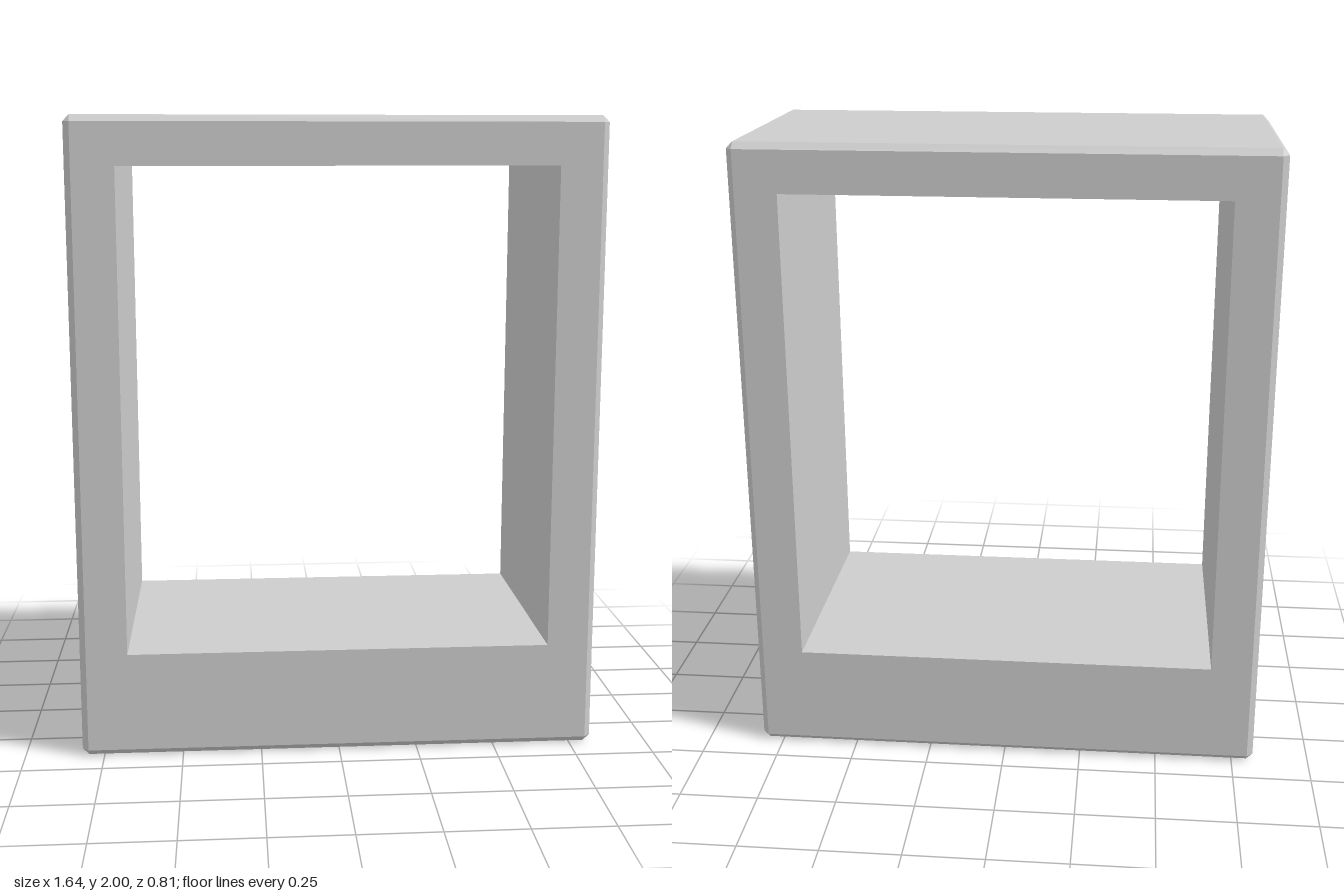
import * as THREE from 'three';

// Half sizes of the block and width of its chamfered edges
const H = [0.82, 1, 0.405];
const C = 0.02;

// Flat panel facing +z, with an optional rectangular hole [x0, y0, x1, y1]
function panel(hw, hh, hole) {
  const rect = (x0, y0, x1, y1) =>
    [[x0, y0], [x1, y0], [x1, y1], [x0, y1]].map(([x, y]) => new THREE.Vector2(x, y));
  const shape = new THREE.Shape(rect(-hw, -hh, hw, hh));
  if (hole) shape.holes.push(new THREE.Path(rect(...hole).reverse()));
  return new THREE.ShapeGeometry(shape);
}

// Inward-facing box walls; keep lists sides in the order +x, -x, +y, -y, +z, -z
function lining(w, h, d, keep) {
  const box = new THREE.BoxGeometry(w, h, d);
  const source = box.index.array;
  const index = [];
  for (const side of keep) {
    for (let i = side * 6; i < side * 6 + 6; i += 3) index.push(source[i], source[i + 2], source[i + 1]);
  }
  box.clearGroups();
  box.setIndex(index);
  const geometry = box.toNonIndexed();
  geometry.computeVertexNormals();
  return geometry;
}

// Twelve bevel strips and eight corner triangles around the block
function chamfers() {
  const positions = [];
  const triangle = (a, b, c) => {
    const normal = b.clone().sub(a).cross(c.clone().sub(a));
    const ordered = normal.dot(a) > 0 ? [a, b, c] : [a, c, b];
    ordered.forEach((p) => positions.push(p.x, p.y, p.z));
  };
  // Corner point lying on the face across the given axis
  const corner = (signs, axis) =>
    new THREE.Vector3(...signs.map((s, i) => s * (i === axis ? H[i] : H[i] - C)));
  for (let axis = 0; axis < 3; axis++) {
    const u = (axis + 1) % 3, v = (axis + 2) % 3;
    for (const su of [-1, 1]) for (const sv of [-1, 1]) {
      const start = [], end = [];
      start[axis] = -1; end[axis] = 1;
      start[u] = end[u] = su;
      start[v] = end[v] = sv;
      const a = corner(start, u), b = corner(end, u), c = corner(end, v), d = corner(start, v);
      triangle(a, b, c);
      triangle(a, c, d);
    }
  }
  for (const x of [-1, 1]) for (const y of [-1, 1]) for (const z of [-1, 1]) {
    triangle(...[0, 1, 2].map((axis) => corner([x, y, z], axis)));
  }
  const geometry = new THREE.BufferGeometry();
  geometry.setAttribute('position', new THREE.Float32BufferAttribute(positions, 3));
  geometry.computeVertexNormals();
  return geometry;
}

export function createModel() {
  const group = new THREE.Group();
  const grey = new THREE.MeshStandardMaterial({ color: 0xcccccc });
  grey.name = 'light grey';
  const add = (name, geometry, y) => {
    const mesh = new THREE.Mesh(geometry, grey);
    mesh.name = name;
    mesh.position.y = y;
    group.add(mesh);
  };

  const [hx, hy, hz] = H;
  const fx = hx - C, fy = hy - C, fz = hz - C;
  const opening = [-0.67, -0.665, 0.67, 0.85];
  const cavity = [-0.7, -0.28, 0.7, 0.28];
  const depth = 0.24;

  // Outer faces
  add('frontFace', panel(fx, fy, opening).translate(0, 0, hz), 1);
  add('backFace', panel(fx, fy, opening).translate(0, 0, hz).rotateY(Math.PI), 1);
  add('leftFace', panel(fz, fy).translate(0, 0, hx).rotateY(Math.PI / 2), 1);
  add('rightFace', panel(fz, fy).translate(0, 0, hx).rotateY(-Math.PI / 2), 1);
  add('topFace', panel(fx, fz).translate(0, 0, hy).rotateX(-Math.PI / 2), 1);
  add('bottomRim', panel(fx, fz, cavity).translate(0, 0, hy).rotateX(Math.PI / 2), 1);
  add('chamferedEdges', chamfers(), 1);

  // Window opening through the block
  const openingHeight = opening[3] - opening[1];
  add('openingLining', lining(1.34, openingHeight, hz * 2, [0, 1, 2, 3]), 1 + (opening[1] + opening[3]) / 2);

  // Hollow underside with an octagonal post
  add('undersideCavity', lining(1.4, depth, 0.56, [0, 1, 2, 4, 5]), depth / 2);
  const post = new THREE.CylinderGeometry(0.165, 0.165, depth, 8).rotateY(Math.PI / 8).toNonIndexed();
  post.computeVertexNormals();
  add('undersidePost', post, depth / 2);

  return group;
}
